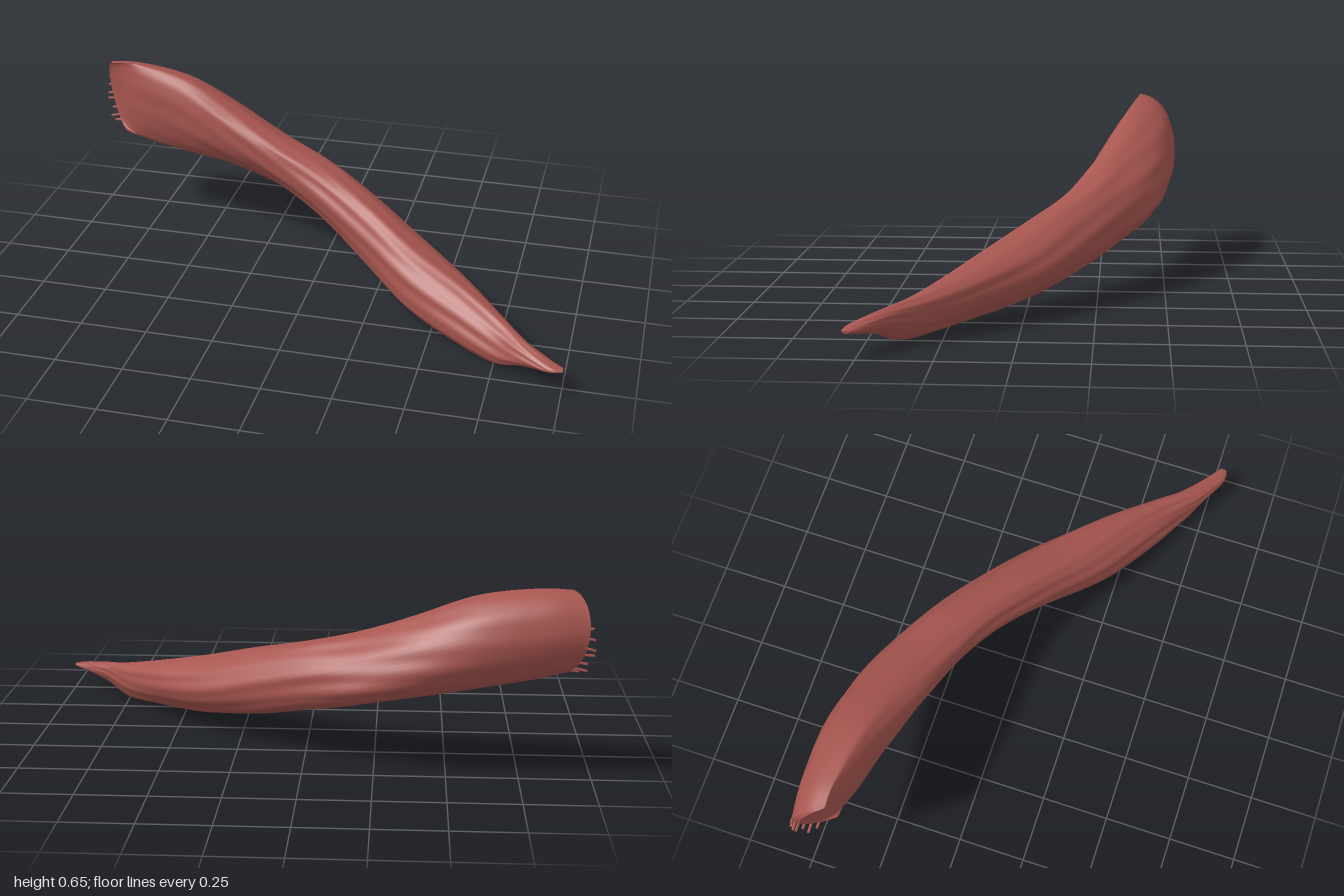
import * as THREE from 'three';

// Cross-sections along the muscle: x, yTop, yBottom, zTop, zBottom, front bulge, back bulge
const SECTIONS = [
  [-0.90, 0.650, 0.360, -0.40, -0.40, -0.09, 0.12],
  [-0.80, 0.652, 0.335, -0.40, -0.40, 0.03, 0.14],
  [-0.60, 0.620, 0.300, -0.38, -0.40, 0.08, 0.155],
  [-0.40, 0.540, 0.270, -0.34, -0.41, 0.12, 0.14],
  [-0.20, 0.460, 0.225, -0.275, -0.37, 0.125, 0.13],
  [0.00, 0.400, 0.165, -0.21, -0.25, 0.13, 0.125],
  [0.20, 0.335, 0.090, -0.07, -0.06, 0.105, 0.165],
  [0.40, 0.260, 0.035, 0.08, 0.14, 0.10, 0.19],
  [0.60, 0.200, 0.012, 0.21, 0.29, 0.085, 0.135],
  [0.75, 0.155, 0.005, 0.33, 0.385, 0.065, 0.075],
  [0.85, 0.130, 0.050, 0.43, 0.45, 0.045, 0.045],
  [0.95, 0.108, 0.075, 0.505, 0.505, 0.035, 0.03],
  [1.00, 0.098, 0.088, 0.525, 0.525, 0.013, 0.013],
];
const RINGS = 120, SIDES = 64;

// Smooth interpolation between neighbouring sections
function sectionAt(u) {
  const last = SECTIONS.length - 1;
  const s = u * last, i = Math.min(Math.floor(s), last - 1), t = s - i;
  const row = (k) => SECTIONS[Math.max(0, Math.min(last, k))];
  return row(i).map((b, k) => {
    const a = row(i - 1)[k], c = row(i + 1)[k], d = row(i + 2)[k];
    return b + 0.5 * t * (c - a + t * (2 * a - 5 * b + 4 * c - d + t * (3 * (b - c) + d - a)));
  });
}

// Point on the surface; angle 0 is the top, then front, bottom, back
function surfacePoint(u, angle) {
  const [x, yTop, yBot, zTop, zBot, front, back] = sectionAt(u);
  const c = Math.cos(angle), s = Math.sin(angle);
  // shallow fibre furrows that drift around the belly and fade at the ends
  const furrow = 0.003 * Math.sin(Math.PI * u) *
    (Math.sin(7 * angle + 9 * u) + Math.sin(12 * angle - 14 * u + 2 * Math.sin(11 * u)));
  const hy = (yTop - yBot) / 2, hz = (zTop - zBot) / 2;
  const bulge = s > 0 ? front : back;
  // the broad end slants: its hollow middle reaches further out than its corners
  const flare = Math.max(0, 1 - u * 9);
  return new THREE.Vector3(
    x - flare * (0.02 * c + 0.07 * Math.abs(s)),
    (yTop + yBot) / 2 + (hy + furrow * 0.5) * c,
    (zTop + zBot) / 2 + hz * c + (bulge + furrow) * s,
  );
}

function makeGeometry(positions, index) {
  const geometry = new THREE.BufferGeometry();
  geometry.setAttribute('position', new THREE.Float32BufferAttribute(positions, 3));
  geometry.setIndex(index);
  geometry.computeVertexNormals();
  return geometry;
}

function bellyGeometry() {
  const positions = [], index = [];
  for (let i = 0; i <= RINGS; i++) {
    for (let j = 0; j < SIDES; j++) {
      positions.push(...surfacePoint(i / RINGS, (j / SIDES) * Math.PI * 2).toArray());
    }
  }
  for (let i = 0; i < RINGS; i++) {
    for (let j = 0; j < SIDES; j++) {
      const a = i * SIDES + j, d = i * SIDES + ((j + 1) % SIDES);
      index.push(a, d, a + SIDES, a + SIDES, d, d + SIDES);
    }
  }
  return makeGeometry(positions, index);
}

// End cap: strips joining the front edge to the back edge
function capGeometry(u, facesLeft) {
  const positions = [], index = [];
  const half = SIDES / 2;
  for (let j = 0; j <= half; j++) {
    const angle = (j / half) * Math.PI;
    positions.push(...surfacePoint(u, angle).toArray(), ...surfacePoint(u, -angle).toArray());
  }
  for (let j = 0; j < half; j++) {
    const p = 2 * j, q = p + 1, p2 = p + 2, q2 = p + 3;
    if (facesLeft) index.push(p, q2, p2, p, q, q2);
    else index.push(p, p2, q2, p, q2, q);
  }
  return makeGeometry(positions, index);
}

export function createModel() {
  const group = new THREE.Group();
  group.name = 'muscle';
  const flesh = new THREE.MeshStandardMaterial({ color: 0xa85650 });
  flesh.name = 'muscle red';
  const add = (name, geometry, parent = group) => {
    const mesh = new THREE.Mesh(geometry, flesh);
    mesh.name = name;
    parent.add(mesh);
  };

  add('muscleBelly', bellyGeometry());
  add('broadEnd', capGeometry(0, true));
  add('tendonTip', capGeometry(1, false));

  // Frayed fibres along the lower half of the broad end
  const fibres = new THREE.Group();
  fibres.name = 'frayedFibres';
  group.add(fibres);
  const lengths = [0.012, 0.02, 0.028, 0.035, 0.025, 0.04, 0.03];
  lengths.forEach((length, i) => {
    const root = surfacePoint(0, Math.PI * (1.58 - 0.07 * i));
    const end = root.clone().add(new THREE.Vector3(-length, -0.006 * (i % 3), 0.004));
    root.x += 0.03;
    root.z += 0.004;
    const middle = root.clone().lerp(end, 0.5).add(new THREE.Vector3(0, 0.004, 0));
    const path = new THREE.QuadraticBezierCurve3(root, middle, end);
    add('fibre', new THREE.TubeGeometry(path, 5, 0.005, 6), fibres);
  });
  return group;
}
